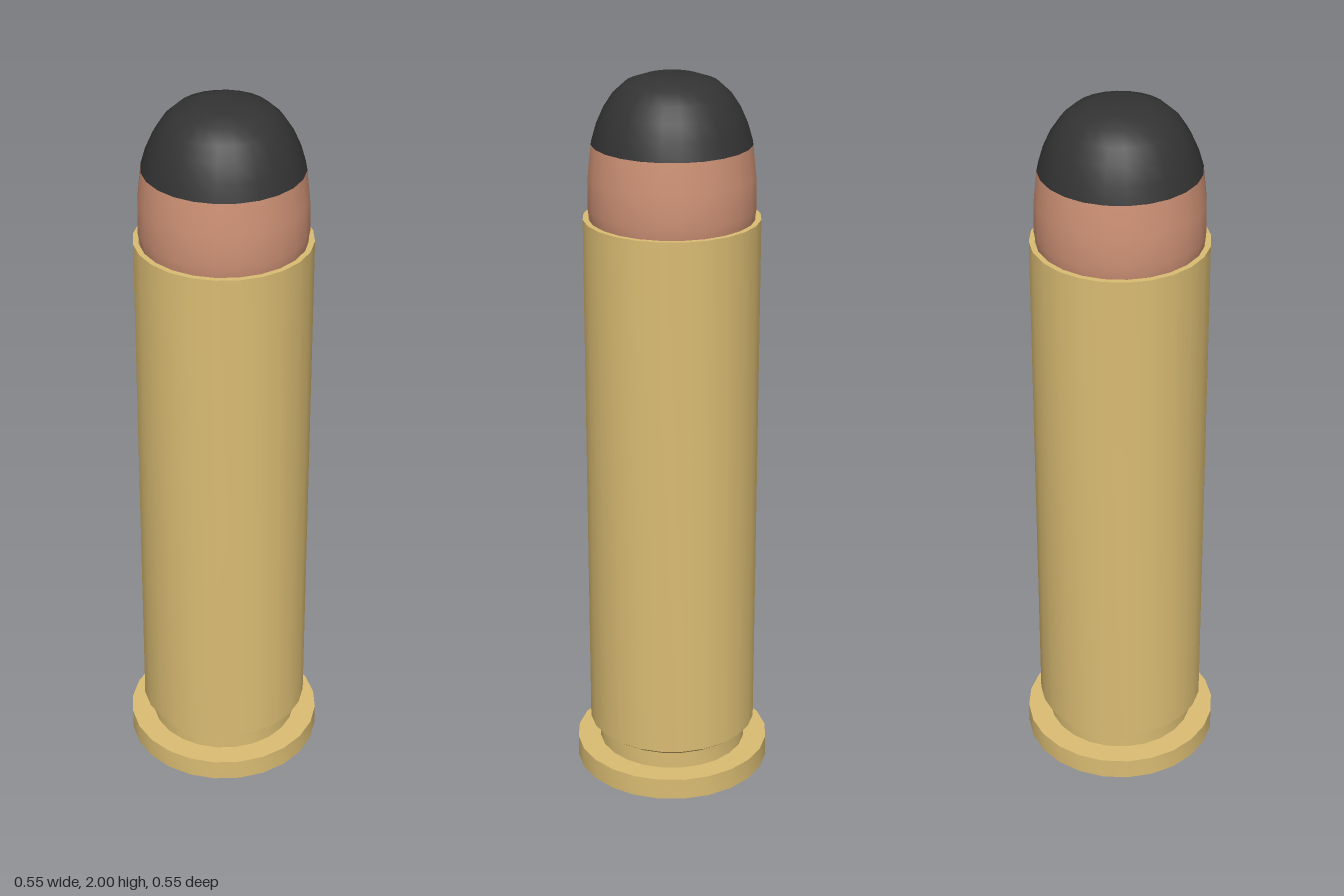
import * as THREE from 'three';
import { toCreasedNormals } from 'three/addons/utils/BufferGeometryUtils.js';

const SIDES = 24;

function material(name, color) {
  const m = new THREE.MeshStandardMaterial({ color });
  m.name = name;
  return m;
}

// Turned part from [radius, height] pairs, listed bottom to top
function turned(name, profile, mat) {
  const points = profile.map(([r, y]) => new THREE.Vector2(r, y));
  const geometry = toCreasedNormals(new THREE.LatheGeometry(points, SIDES), Math.PI / 5);
  const mesh = new THREE.Mesh(geometry, mat);
  mesh.name = name;
  return mesh;
}

export function createModel() {
  const brass = material('brass', 0xdabc73);
  const copper = material('copper', 0xcf9276);
  const black = material('black', 0x333333);

  const group = new THREE.Group();
  group.name = 'cartridge';

  // Flat base disc with a wide rim
  group.add(turned('rim', [[0, 0], [0.275, 0], [0.275, 0.062], [0.205, 0.062]], brass));

  // Narrow groove, bevel, long straight wall and open mouth
  group.add(turned('case', [
    [0.21, 0.06], [0.21, 0.11], [0.237, 0.13], [0.237, 1.625],
    [0.222, 1.625], [0.216, 1.6],
  ], brass));

  // Copper band, tucked in at its lower edge
  group.add(turned('jacket', [
    [0.212, 1.59], [0.219, 1.625], [0.224, 1.655], [0.222, 1.74], [0.213, 1.825],
  ], copper));

  // Rounded nose with a small flat top
  group.add(turned('nose', [
    [0.213, 1.825], [0.2, 1.87], [0.18, 1.915], [0.155, 1.953],
    [0.122, 1.983], [0.073, 2], [0, 2],
  ], black));

  return group;
}
